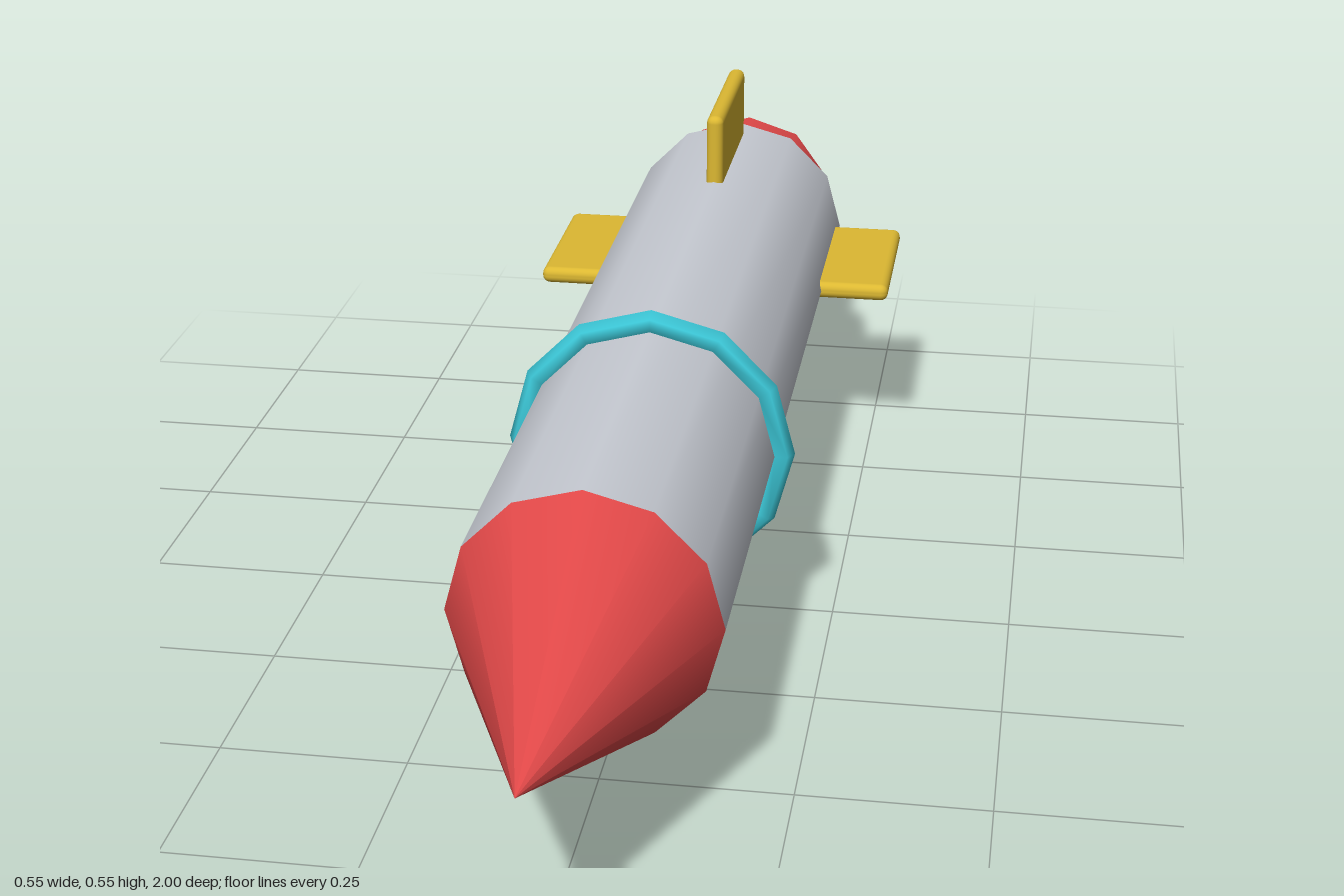
import * as THREE from 'three';
import { RoundedBoxGeometry } from 'three/addons/geometries/RoundedBoxGeometry.js';

const CENTRE_Y = 0.276;

function material(name, color) {
  const m = new THREE.MeshStandardMaterial({ color });
  m.name = name;
  return m;
}

export function createModel() {
  const hullGrey = material('hullGrey', 0xc8ccd4);
  const red = material('red', 0xe04848);
  const cyan = material('cyan', 0x3cc8d8);
  const yellow = material('yellow', 0xdcb832);

  const model = new THREE.Group();
  model.name = 'rocket';
  const axis = new THREE.Group();
  axis.name = 'rocketBody';
  axis.position.y = CENTRE_Y;
  model.add(axis);

  function add(name, geometry, mat, parent = axis) {
    const mesh = new THREE.Mesh(geometry, mat);
    mesh.name = name;
    parent.add(mesh);
    return mesh;
  }

  // Round part lying along z, from z0 (rear) to z1 (front)
  function roundPart(name, geometry, mat, z0, z1) {
    geometry.rotateX(Math.PI / 2);
    add(name, geometry, mat).position.z = (z0 + z1) / 2;
  }

  roundPart('hull', new THREE.CylinderGeometry(0.172, 0.172, 1.449, 12), hullGrey, -0.86, 0.589);
  roundPart('noseCone', new THREE.ConeGeometry(0.172, 0.411, 12), red, 0.589, 1);
  roundPart('engineNozzle', new THREE.CylinderGeometry(0.138, 0.138, 0.14, 10), red, -1, -0.86);

  // Raised band around the hull
  add('bandRing', new THREE.TorusGeometry(0.181, 0.0175, 6, 12), cyan).position.z = 0.071;

  // Four tail fins, evenly spaced
  for (let i = 0; i < 4; i++) {
    const fin = new THREE.Group();
    fin.name = 'tailFin' + (i + 1);
    fin.rotation.z = i * Math.PI / 2;
    add('finPlate', new RoundedBoxGeometry(0.138, 0.026, 0.276, 3, 0.0115), yellow, fin)
      .position.set(0.207, 0, -0.688);
    axis.add(fin);
  }

  return model;
}
